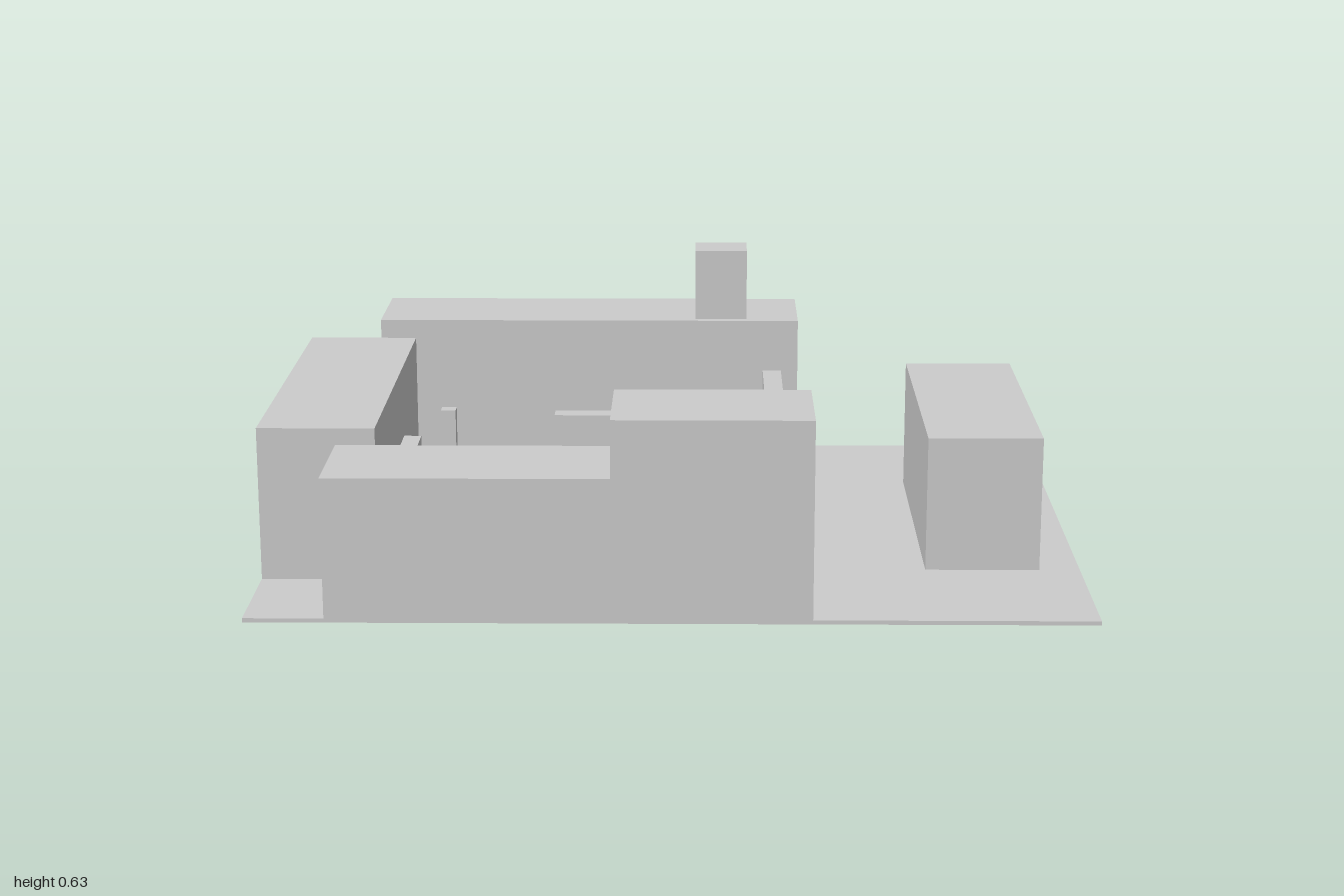
import * as THREE from 'three';

export function createModel() {
  const group = new THREE.Group();
  const material = new THREE.MeshStandardMaterial({ color: 0xcccccc, flatShading: true });
  const FLOOR = 0.01;

  function add(name, geometry, x = 0, y = 0, z = 0) {
    const mesh = new THREE.Mesh(geometry, material);
    mesh.name = name;
    mesh.position.set(x, y, z);
    group.add(mesh);
  }

  // box given by its limits on each axis
  function box(name, x0, x1, z0, z1, y1, y0 = FLOOR) {
    add(name, new THREE.BoxGeometry(x1 - x0, y1 - y0, z1 - z0),
      (x0 + x1) / 2, (y0 + y1) / 2, (z0 + z1) / 2);
  }

  // upright cylinder standing on y0
  function column(name, radius, x, z, y1, y0 = FLOOR) {
    add(name, new THREE.CylinderGeometry(radius, radius, y1 - y0, 32), x, (y0 + y1) / 2, z);
  }

  box('ground', -1, 1, -0.76, 0.76, FLOOR, 0);

  // buildings around the courtyard
  box('backBuilding', -0.81, 0.33, -0.76, -0.48, 0.44);
  box('tower', 0.05, 0.19, -0.62, -0.5, 0.63, 0.44);
  box('sideBuilding', -1, -0.715, -0.48, 0.47, 0.39);
  box('frontLowBuilding', -0.81, -0.14, 0.475, 0.76, 0.35);
  box('frontTallBuilding', -0.14, 0.33, 0.475, 0.76, 0.49);
  box('outerBuilding', 0.62, 0.9, -0.385, 0.38, 0.345);

  // courtyard wall with a gateway, drawn along z and extruded along x
  const wall = new THREE.Shape();
  [[-0.475, 0.01], [-0.09, 0.01], [-0.09, 0.18], [0.105, 0.18],
    [0.105, 0.01], [0.48, 0.01], [0.48, 0.3], [-0.475, 0.3]]
    .forEach(([u, v], i) => (i ? wall.lineTo(u, v) : wall.moveTo(u, v)));
  const wallGeometry = new THREE.ExtrudeGeometry(wall, { depth: 0.05, bevelEnabled: false });
  wallGeometry.rotateY(Math.PI / 2);
  add('gateWall', wallGeometry, 0.235, 0, 0);

  // entrance with three shallow steps
  box('entrance', -0.335, -0.14, -0.48, -0.43, 0.185);
  for (let i = 0; i < 3; i++) {
    const z = -0.345 - i * 0.03;
    box('step' + (i + 1), -0.36, -0.12, i < 2 ? z - 0.03 : -0.43, z, 0.018 + i * 0.008);
  }

  // awning on the side building and a low panel beside it
  box('awning', -0.715, -0.67, -0.14, 0.14, 0.205, 0.145);
  box('panel', -0.645, -0.632, 0.14, 0.33, 0.09);

  // posts
  box('post', -0.64, -0.6, -0.4, -0.365, 0.215);
  column('roundPost', 0.018, 0.09, -0.29, 0.06);

  // fountain
  column('fountainBasin', 0.07, -0.24, 0, 0.045);
  column('fountainSpout', 0.012, -0.24, 0, 0.1, 0.045);

  // crates
  box('crate1', -0.075, -0.05, 0.165, 0.21, 0.045);
  box('crate2', -0.05, -0.005, 0.165, 0.21, 0.075);
  box('crate3', -0.005, 0.025, 0.17, 0.215, 0.045);

  return group;
}
